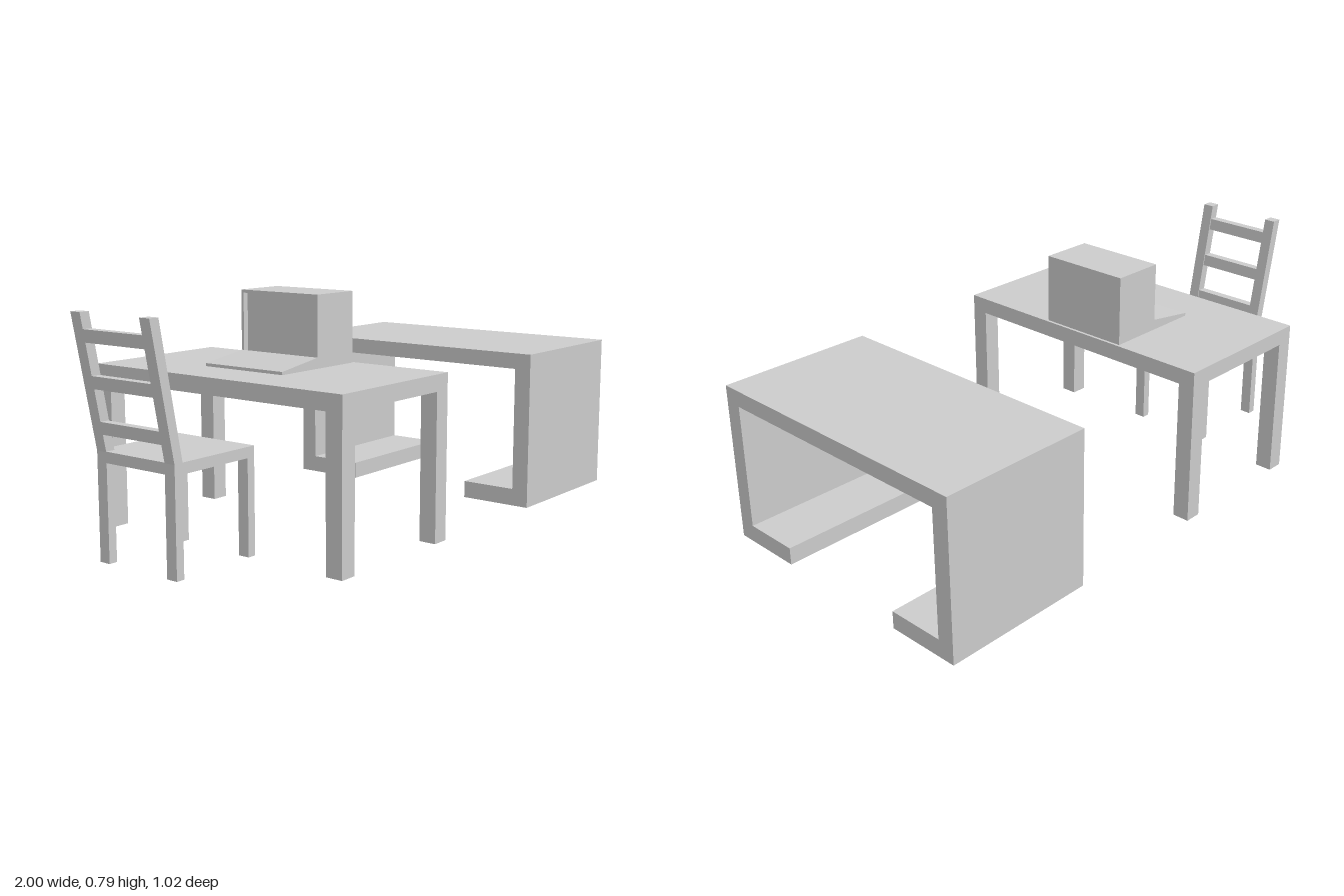
import * as THREE from 'three';

const material = new THREE.MeshStandardMaterial({ color: 0xcccccc, flatShading: true });

function add(group, name, geometry) {
  const mesh = new THREE.Mesh(geometry, material);
  mesh.name = name;
  group.add(mesh);
}

// Box given by its limits on each axis
function box(group, name, [x0, x1], [y0, y1], [z0, z1]) {
  const g = new THREE.BoxGeometry(x1 - x0, y1 - y0, z1 - z0);
  g.translate((x0 + x1) / 2, (y0 + y1) / 2, (z0 + z1) / 2);
  add(group, name, g);
}

// Side profile in x and y, extruded from z0 to z1
function profile(group, name, points, [z0, z1]) {
  const shape = new THREE.Shape(points.map(([x, y]) => new THREE.Vector2(x, y)));
  const g = new THREE.ExtrudeGeometry(shape, { depth: z1 - z0, bevelEnabled: false });
  g.translate(0, 0, z0);
  add(group, name, g);
}

function part(root, name) {
  const group = new THREE.Group();
  group.name = name;
  root.add(group);
  return group;
}

const TOP = 0.547;

function buildCounter(root) {
  // Folded shell: top, two sides and inward-turned feet
  const g = part(root, 'counter');
  const s = [[-0.51, 0], [-0.25, 0], [-0.25, 0.06], [-0.45, 0.06], [-0.45, 0.492], [0.45, 0.492],
    [0.45, 0.06], [0.25, 0.06], [0.25, 0], [0.51, 0], [0.51, TOP], [-0.51, TOP]];
  const shape = new THREE.Shape(s.map(([z, y]) => new THREE.Vector2(z, y)));
  const geo = new THREE.ExtrudeGeometry(shape, { depth: 0.545, bevelEnabled: false });
  geo.rotateY(Math.PI / 2).translate(0.455, 0, 0);
  add(g, 'counterShell', geo);
}

function buildTable(root) {
  const g = part(root, 'table');
  box(g, 'tableTop', [-0.615, -0.07], [0.492, TOP], [-0.51, 0.51]);
  for (const x of [-0.615, -0.13]) {
    for (const z of [-0.51, 0.45]) box(g, 'tableLeg', [x, x + 0.06], [0, 0.492], [z, z + 0.06]);
  }
}

function buildComputer(root) {
  const g = part(root, 'computer');
  const z = [-0.185, 0.14];
  // Monitor casing with a shallow recessed screen
  box(g, 'monitorBody', [-0.245, -0.08], [TOP, 0.785], z);
  const shape = new THREE.Shape([[-0.14, TOP], [0.185, TOP], [0.185, 0.785], [-0.14, 0.785]]
    .map((p) => new THREE.Vector2(...p)));
  shape.holes.push(new THREE.Path([[-0.13, 0.557], [-0.13, 0.775], [0.175, 0.775], [0.175, 0.557]]
    .map((p) => new THREE.Vector2(...p))));
  const rim = new THREE.ExtrudeGeometry(shape, { depth: 0.02, bevelEnabled: false });
  rim.rotateY(Math.PI / 2).translate(-0.265, 0, 0);
  add(g, 'screenRim', rim);
  // Sloping keyboard
  profile(g, 'keyboard', [[-0.44, TOP], [-0.265, TOP], [-0.265, 0.583], [-0.44, 0.557]], z);
}

function buildChair(root) {
  const g = part(root, 'chair');
  const back = (y) => -0.915 - (y - 0.345) * 0.2; // rear line of the leaning back
  box(g, 'seat', [-0.915, -0.575], [0.312, 0.347], [-0.185, 0.14]);
  for (const z of [-0.185, 0.1]) {
    const span = [z, z + 0.04];
    box(g, 'frontLeg', [-0.605, -0.575], [0, 0.312], span);
    box(g, 'rearLeg', [-0.915, -0.885], [0, 0.345], span);
    profile(g, 'backPost', [[-0.915, 0.345], [-0.882, 0.345], [-0.965, 0.77], [-1, 0.77]], span);
  }
  // Three slats following the lean
  for (const y of [0.4, 0.54, 0.68]) {
    const t = y + 0.04;
    profile(g, 'backSlat', [[back(y), y], [back(y) + 0.03, y], [back(t) + 0.03, t], [back(t), t]], [-0.145, 0.1]);
  }
}

export function createModel() {
  const root = new THREE.Group();
  root.name = 'officeFurniture';
  buildCounter(root);
  buildTable(root);
  buildComputer(root);
  buildChair(root);
  return root;
}
